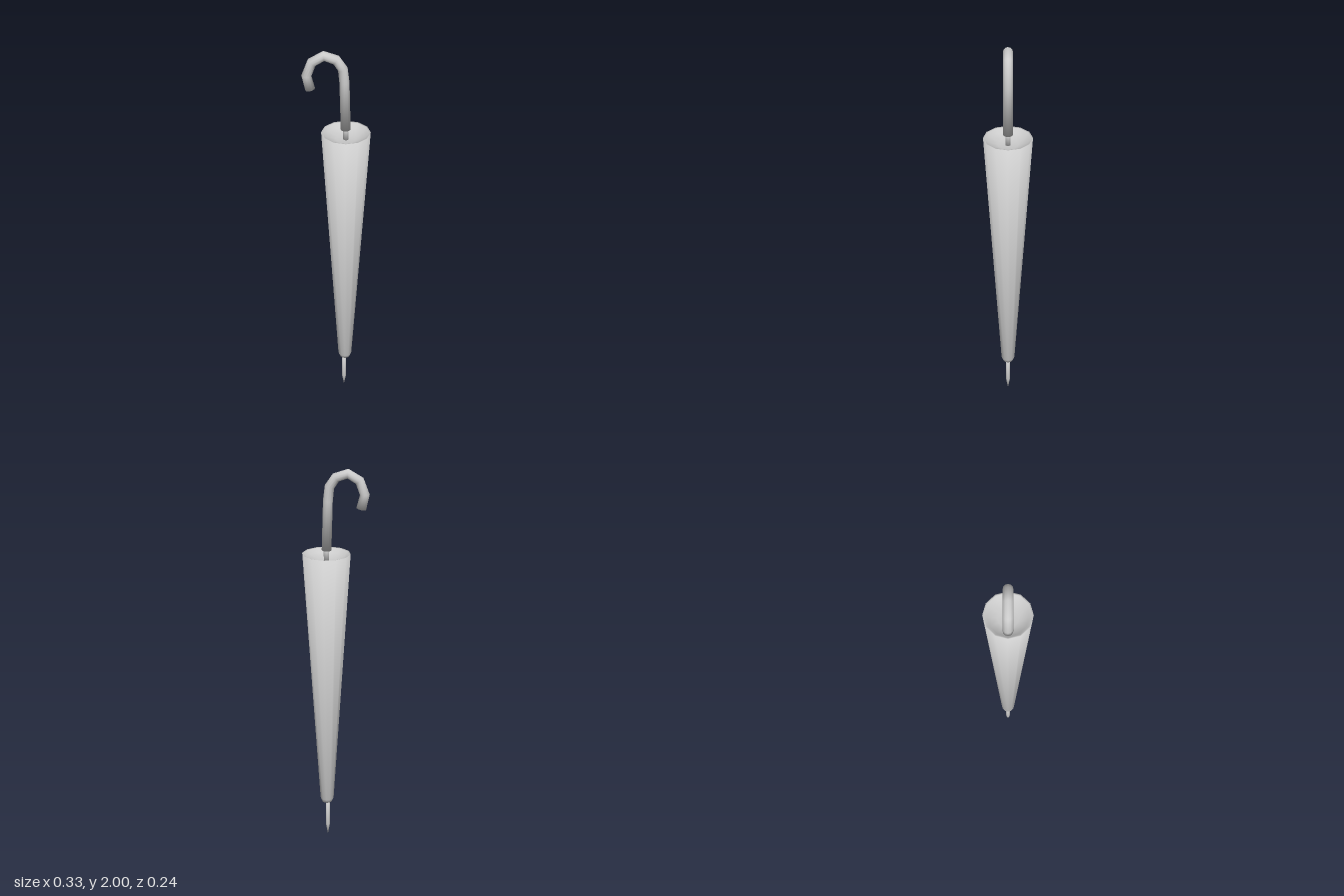
import * as THREE from 'three';
import { mergeVertices } from 'three/addons/utils/BufferGeometryUtils.js';

const AXIS_X = 0.045;
const material = new THREE.MeshStandardMaterial({ color: 0xcccccc });

// Weld the seams and round all shading, weighting each face by its corner angle
function smooth(source) {
  source.deleteAttribute('uv');
  source.deleteAttribute('normal');
  const geometry = mergeVertices(source);
  const { position } = geometry.attributes;
  const index = geometry.index.array;
  const normals = Array.from({ length: position.count }, () => new THREE.Vector3());
  const faceNormal = new THREE.Vector3();
  for (let i = 0; i < index.length; i += 3) {
    const ids = [index[i], index[i + 1], index[i + 2]];
    if (new Set(ids).size < 3) continue;
    const corners = ids.map((id) => new THREE.Vector3().fromBufferAttribute(position, id));
    THREE.Triangle.getNormal(...corners, faceNormal);
    ids.forEach((id, k) => {
      const a = corners[(k + 1) % 3].clone().sub(corners[k]);
      const b = corners[(k + 2) % 3].clone().sub(corners[k]);
      normals[id].addScaledVector(faceNormal, a.angleTo(b));
    });
  }
  const flat = normals.flatMap((n) => n.normalize().toArray());
  geometry.setAttribute('normal', new THREE.Float32BufferAttribute(flat, 3));
  return geometry;
}

function makePart(name, geometry, x = 0) {
  const mesh = new THREE.Mesh(smooth(geometry), material);
  mesh.name = name;
  mesh.position.x = x;
  return mesh;
}

// Revolved part from [radius, height] pairs
function revolve(name, profile, sides, x) {
  const points = profile.map(([r, y]) => new THREE.Vector2(r, y));
  return makePart(name, new THREE.LatheGeometry(points, sides), x);
}

// Crook handle: a capped cylinder bent along a path, one ring per path point
function createHandle() {
  const path = new THREE.CatmullRomCurve3([
    [0.044, 1.592], [0.037, 1.84], [0.029, 1.91], [-0.002, 1.956],
    [-0.06, 1.976], [-0.116, 1.943], [-0.142, 1.875], [-0.125, 1.805],
  ].map(([x, y]) => new THREE.Vector3(x, y, 0)));
  const rings = path.points.length - 1;
  const geometry = new THREE.CylinderGeometry(0.024, 0.024, 1, 12, rings);
  const { position } = geometry.attributes;
  for (let i = 0; i < position.count; i++) {
    const t = Math.round((position.getY(i) + 0.5) * rings) / rings;
    const side = position.getX(i);
    const centre = path.getPoint(t);
    const tangent = path.getTangent(t);
    position.setXY(i, centre.x + tangent.y * side, centre.y - tangent.x * side);
  }
  return makePart('handle', geometry);
}

export function createModel() {
  const umbrella = new THREE.Group();
  umbrella.name = 'umbrella';

  // Furled canopy with a shallow dished top
  umbrella.add(revolve('canopy', [
    [0, 0.2], [0.025, 0.2], [0.035, 0.222], [0.12, 1.575],
    [0.113, 1.573], [0.098, 1.552], [0.05, 1.54], [0, 1.537],
  ], 12, AXIS_X));

  // Pointed ferrule below, short shaft above joining the handle
  umbrella.add(revolve('ferrule', [[0, 0], [0.011, 0.06], [0.011, 0.21], [0, 0.21]], 8, 0.041));
  umbrella.add(revolve('shaft', [[0, 1.53], [0.013, 1.53], [0.013, 1.6], [0, 1.6]], 8, AXIS_X));

  umbrella.add(createHandle());
  return umbrella;
}
